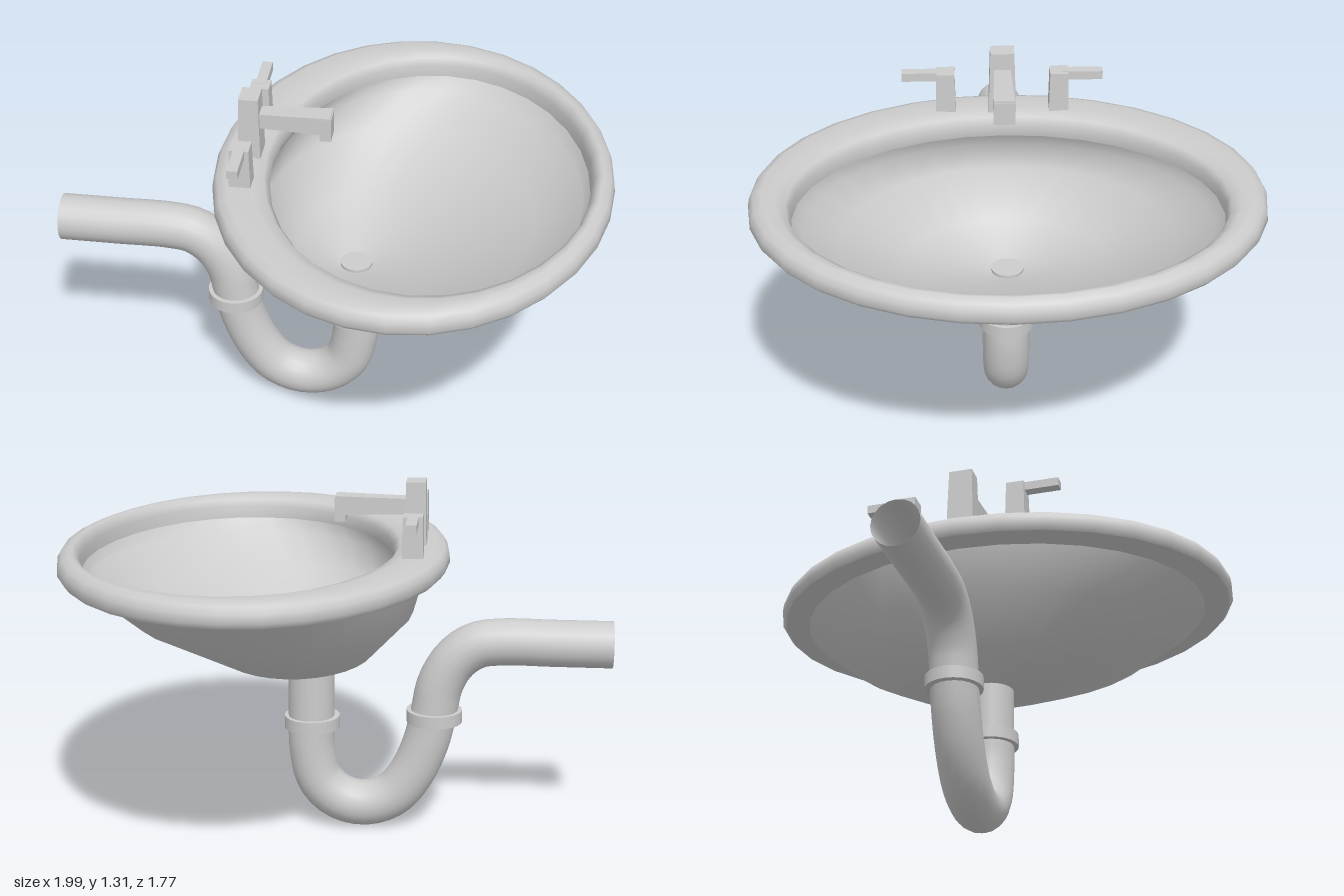
import * as THREE from 'three';

const porcelain = new THREE.MeshStandardMaterial({ color: 0xcccccc, side: THREE.DoubleSide });
porcelain.name = 'light grey';

// Skin of elliptical rings, each [y, centre x, radius x, radius z]
function loft(rings, seg = 32) {
  const pos = [], idx = [];
  rings.forEach(([y, cx, rx, rz], i) => {
    for (let j = 0; j < seg; j++) {
      const a = (j / seg) * Math.PI * 2;
      pos.push(cx + rx * Math.cos(a), y, rz * Math.sin(a));
      if (i < rings.length - 1) {
        const p = i * seg + j, q = i * seg + (j + 1) % seg;
        idx.push(p, p + seg, q, q, p + seg, q + seg);
      }
    }
  });
  const g = new THREE.BufferGeometry();
  g.setAttribute('position', new THREE.Float32BufferAttribute(pos, 3));
  g.setIndex(idx);
  g.computeVertexNormals();
  return g;
}

// Box standing on y = 0, narrowed towards the top
function taperedPost(w, h, d, top) {
  const g = new THREE.BoxGeometry(w, h, d).translate(0, h / 2, 0);
  const p = g.attributes.position;
  for (let i = 0; i < p.count; i++) {
    if (p.getY(i) > h / 2) p.setXYZ(i, p.getX(i) * top, p.getY(i), p.getZ(i) * top);
  }
  g.computeVertexNormals();
  return g;
}

export function createModel() {
  const model = new THREE.Group();
  model.name = 'washbasin';
  const add = (name, geometry, x = 0, y = 0, z = 0, parent = model) => {
    const m = new THREE.Mesh(geometry, porcelain);
    m.name = name;
    m.position.set(x, y, z);
    parent.add(m);
    return m;
  };

  // Rounded rim with its opening set away from the tap deck
  add('rim', loft([
    [1.0, 0.3, 0.685, 0.868], [1.02, 0.3, 0.7, 0.883], [1.05, 0.3, 0.697, 0.88],
    [1.073, 0.3, 0.684, 0.866], [1.085, 0.302, 0.655, 0.838], [1.085, 0.34, 0.605, 0.785],
    [1.072, 0.355, 0.575, 0.75], [1.045, 0.36, 0.56, 0.737], [1.0, 0.355, 0.563, 0.735],
  ]));

  // Bowl: outer shell with the rim underside, then the inner surface
  add('bowlOutside', loft([
    [0.602, 0.1, 0.085, 0.085], [0.68, 0.15, 0.28, 0.37], [0.83, 0.235, 0.505, 0.6],
    [0.985, 0.3, 0.615, 0.775],
  ]));
  add('rimUnderside', loft([[0.985, 0.3, 0.615, 0.775], [1.0, 0.3, 0.685, 0.868]]));
  add('bowlInside', loft([
    [1.0, 0.355, 0.563, 0.735], [0.95, 0.325, 0.56, 0.705], [0.845, 0.245, 0.49, 0.59],
    [0.695, 0.15, 0.27, 0.36], [0.617, 0.1, 0.07, 0.07], [0.616, 0.1, 0.001, 0.001],
  ]));
  add('drain', new THREE.CylinderGeometry(0.058, 0.058, 0.012, 24), 0.1, 0.622, -0.003);

  // Waste pipe with its trap bend, open at the wall end
  const path = new THREE.CatmullRomCurve3([
    [-0.99, 0.725], [-0.78, 0.725], [-0.59, 0.725], [-0.5, 0.71], [-0.425, 0.655], [-0.372, 0.56],
    [-0.35, 0.45], [-0.322, 0.33], [-0.27, 0.21], [-0.2, 0.125], [-0.1, 0.088], [0, 0.11],
    [0.07, 0.18], [0.098, 0.3], [0.1, 0.41], [0.1, 0.61],
  ].map(([x, y]) => new THREE.Vector3(x, y, 0)));
  add('wastePipe', new THREE.TubeGeometry(path, 60, 0.085, 20, false));
  for (const [x, y] of [[-0.352, 0.44], [0.097, 0.405]]) {
    add('pipeCollar', new THREE.CylinderGeometry(0.102, 0.102, 0.046, 24), x, y, 0);
  }

  // Tap: square column and spout with a downturned tip
  const tap = new THREE.Group();
  tap.name = 'tap';
  tap.position.set(-0.276, 1.08, 0.005);
  model.add(tap);
  add('column', taperedPost(0.08, 0.232, 0.1, 0.86), 0, 0, 0, tap);
  const spout = taperedPost(0.055, 0.25, 0.06, 1.25);
  spout.rotateZ(-Math.PI / 2);
  add('spout', spout, 0.035, 0.142, 0, tap);
  add('spoutTip', new THREE.BoxGeometry(0.04, 0.085, 0.076), 0.268, 0.128, 0, tap);

  // Mirrored handles with levers pointing outward
  for (const s of [-1, 1]) {
    const handle = new THREE.Group();
    handle.name = s > 0 ? 'frontHandle' : 'backHandle';
    handle.position.set(0, 0, s * 0.205);
    tap.add(handle);
    add('post', taperedPost(0.076, 0.15, 0.072, 0.9), 0, 0, 0, handle);
    add('lever', new THREE.BoxGeometry(0.038, 0.032, 0.155), 0, 0.135, s * 0.08, handle);
  }
  return model;
}
